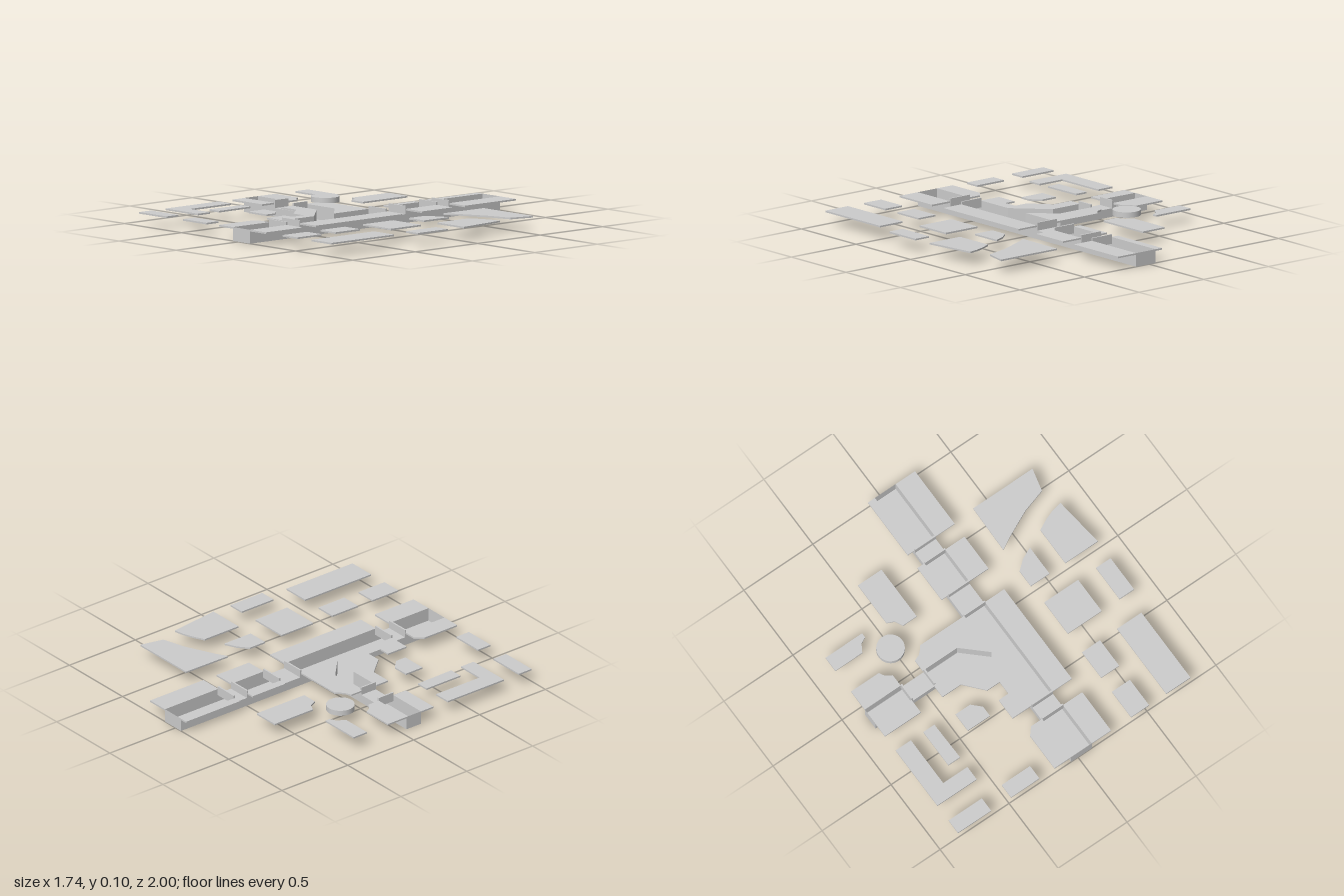
import * as THREE from 'three';

const SLAB_BOTTOM = 0.073, TOP = 0.083, DECK = 0.052, RAIL = 0.1;

export function createModel() {
  const group = new THREE.Group();
  const solid = new THREE.MeshStandardMaterial({ color: 0xcccccc, flatShading: true });
  const thin = new THREE.MeshStandardMaterial({ color: 0xcccccc, flatShading: true, side: THREE.DoubleSide });

  const add = (name, geometry, material = solid) => {
    const mesh = new THREE.Mesh(geometry, material);
    mesh.name = name;
    group.add(mesh);
    return mesh;
  };
  // Plan outline given as [x, z] corners
  const outline = (pts) => new THREE.Shape(pts.map(([x, z]) => new THREE.Vector2(x, -z)));
  const slab = (name, pts) => {
    const g = new THREE.ExtrudeGeometry(outline(pts), { depth: TOP - SLAB_BOTTOM, bevelEnabled: false });
    add(name, g.rotateX(-Math.PI / 2).translate(0, SLAB_BOTTOM, 0));
  };
  const rect = (x0, z0, x1, z1) => [[x0, z0], [x1, z0], [x1, z1], [x0, z1]];
  const box = (name, x0, y0, z0, x1, y1, z1) => add(name,
    new THREE.BoxGeometry(x1 - x0, y1 - y0, z1 - z0)
      .translate((x0 + x1) / 2, (y0 + y1) / 2, (z0 + z1) / 2));
  // Upright sheet along a path of [x, z] points
  const wall = (name, pts, top = TOP) => {
    const pos = [];
    for (let i = 0; i + 1 < pts.length; i++) {
      const [ax, az] = pts[i], [bx, bz] = pts[i + 1];
      pos.push(ax, 0, az, bx, 0, bz, bx, top, bz, ax, 0, az, bx, top, bz, ax, top, az);
    }
    const g = new THREE.BufferGeometry();
    g.setAttribute('position', new THREE.Float32BufferAttribute(pos, 3));
    g.computeVertexNormals();
    add(name, g, thin);
  };

  // Canal floor, main channel with its bent side branch
  const floor = [[-0.05, -1], [0.1, -1], [0.1, 1], [-0.05, 1], [-0.05, 0.35], [-0.235, 0.16],
    [-0.87, 0.16], [-0.87, 0.05], [-0.2, 0.05], [-0.05, 0.19]];
  add('canalFloor', new THREE.ShapeGeometry(outline(floor)).rotateX(-Math.PI / 2), thin);

  // Canal walls, lower where the bridges cross
  const bridges = [[-0.595, -0.495], [-0.25, -0.09], [0.6, 0.705]];
  let z = -1;
  for (const [a, b] of [...bridges, [1, 1]]) {
    wall('eastCanalWall', [[0.1, z], [0.1, a]]);
    if (z < 0 && a > 0) {
      wall('westCanalWall', [[-0.05, z], [-0.05, 0.19], [-0.2, 0.05], [-0.44, 0.05]]);
      wall('westCanalWall', [[-0.05, a], [-0.05, 0.35], [-0.235, 0.16], [-0.44, 0.16]]);
    } else wall('westCanalWall', [[-0.05, z], [-0.05, a]]);
    if (b > a) for (const x of [-0.05, 0.1]) wall('bridgeAbutment', [[x, a], [x, b]], DECK);
    z = b;
  }
  for (const bz of [0.05, 0.16]) {
    wall('branchWall', [[-0.87, bz], [-0.605, bz]]);
    wall('branchAbutment', [[-0.605, bz], [-0.44, bz]], DECK);
  }
  for (const ez of [-1, 1]) wall('canalEndWall', [[-0.05, ez], [0.1, ez]]);
  wall('branchEndWall', [[-0.87, 0.05], [-0.87, 0.16]]);

  // Bridge decks and parapets
  for (const [a, b] of bridges) {
    box('bridgeDeck', -0.05, DECK - 0.01, a, 0.1, DECK, b);
    for (const p of [a, b]) box('bridgeParapet', -0.05, DECK - 0.01, p - 0.005, 0.1, RAIL, p + 0.005);
  }
  box('branchBridgeDeck', -0.605, DECK - 0.01, 0.05, -0.44, DECK, 0.16);
  for (const p of [-0.605, -0.44]) {
    box('branchBridgeParapet', p - 0.005, DECK - 0.01, 0.05, p + 0.005, RAIL, 0.16);
  }

  // Roundabout island, open underneath
  const island = new THREE.Group();
  island.name = 'roundaboutIsland';
  const rim = new THREE.Mesh(new THREE.CylinderGeometry(0.085, 0.085, 0.033, 32, 1, true), thin.clone());
  rim.material.flatShading = false;
  rim.name = 'islandRim';
  rim.position.y = 0.0835;
  const cap = new THREE.Mesh(new THREE.CircleGeometry(0.085, 32).rotateX(-Math.PI / 2), thin);
  cap.name = 'islandTop';
  cap.position.y = RAIL;
  island.add(rim, cap);
  island.position.set(-0.525, 0, -0.173);
  group.add(island);

  // Banks beside the canal
  for (const [a, b] of [[-1, -0.595], [-0.495, -0.25], [-0.09, 0.6], [0.705, 1]]) {
    slab('eastBank', rect(0.1, a, 0.24, b));
    if (b < 0) slab('westBank', rect(-0.1, a, -0.05, b));
  }
  slab('westBank', [[-0.05, 0.705], [-0.13, 0.705], [-0.17, 0.75], [-0.17, 1], [-0.05, 1]]);
  slab('northBranchBank', [[-0.05, -0.09], [-0.37, -0.09], [-0.385, -0.07], [-0.41, -0.045], [-0.45, -0.03],
    [-0.45, 0.05], [-0.2, 0.05], [-0.05, 0.19]]);
  slab('southBranchBank', [[-0.45, 0.16], [-0.235, 0.16], [-0.05, 0.35], [-0.05, 0.6], [-0.19, 0.6],
    [-0.19, 0.46], [-0.12, 0.46], [-0.12, 0.37], [-0.21, 0.37], [-0.315, 0.25], [-0.45, 0.25]]);
  slab('northBranchBank', [[-0.87, -0.09], [-0.67, -0.09], [-0.65, -0.055], [-0.61, -0.03],
    [-0.61, 0.05], [-0.87, 0.05]]);
  slab('southBranchBank', rect(-0.87, 0.16, -0.61, 0.255));

  // City blocks with cut or curved corners
  const blocks = [
    [[-0.87, -0.35], [-0.605, -0.35], [-0.605, -0.32], [-0.645, -0.3], [-0.675, -0.25], [-0.87, -0.25]],
    [[-0.45, -0.61], [-0.28, -0.61], [-0.28, -0.25], [-0.38, -0.25], [-0.405, -0.3], [-0.45, -0.32]],
    [[-0.87, 0.365], [-0.76, 0.365], [-0.76, 0.695], [-0.585, 0.695], [-0.585, 0.79], [-0.87, 0.79]],
    [[-0.67, 0.365], [-0.59, 0.365], [-0.585, 0.62], [-0.67, 0.62]],
    [[-0.45, 0.385], [-0.345, 0.385], [-0.29, 0.44], [-0.29, 0.51], [-0.45, 0.51]],
    [[0.385, -0.61], [0.815, -0.61], [0.78, -0.465], [0.63, -0.42], [0.45, -0.335], [0.38, -0.295]],
    [[0.63, -0.27], [0.7, -0.305], [0.76, -0.327], [0.825, -0.34], [0.865, -0.015], [0.63, -0.015]],
    [[0.38, -0.13], [0.44, -0.18], [0.515, -0.215], [0.515, -0.015], [0.38, -0.015]],
    // Plain rectangular blocks
    ...[[-0.87, 0.905, -0.63, 1], [-0.485, 0.905, -0.28, 1], [0.385, 0.115, 0.63, 0.355],
      [0.76, 0.115, 0.865, 0.355], [0.385, 0.5, 0.515, 0.695], [0.385, 0.805, 0.515, 1],
      [0.64, 0.5, 0.815, 1]].map((r) => rect(...r)),
  ];
  blocks.forEach((pts) => slab('cityBlock', pts));

  return group;
}
